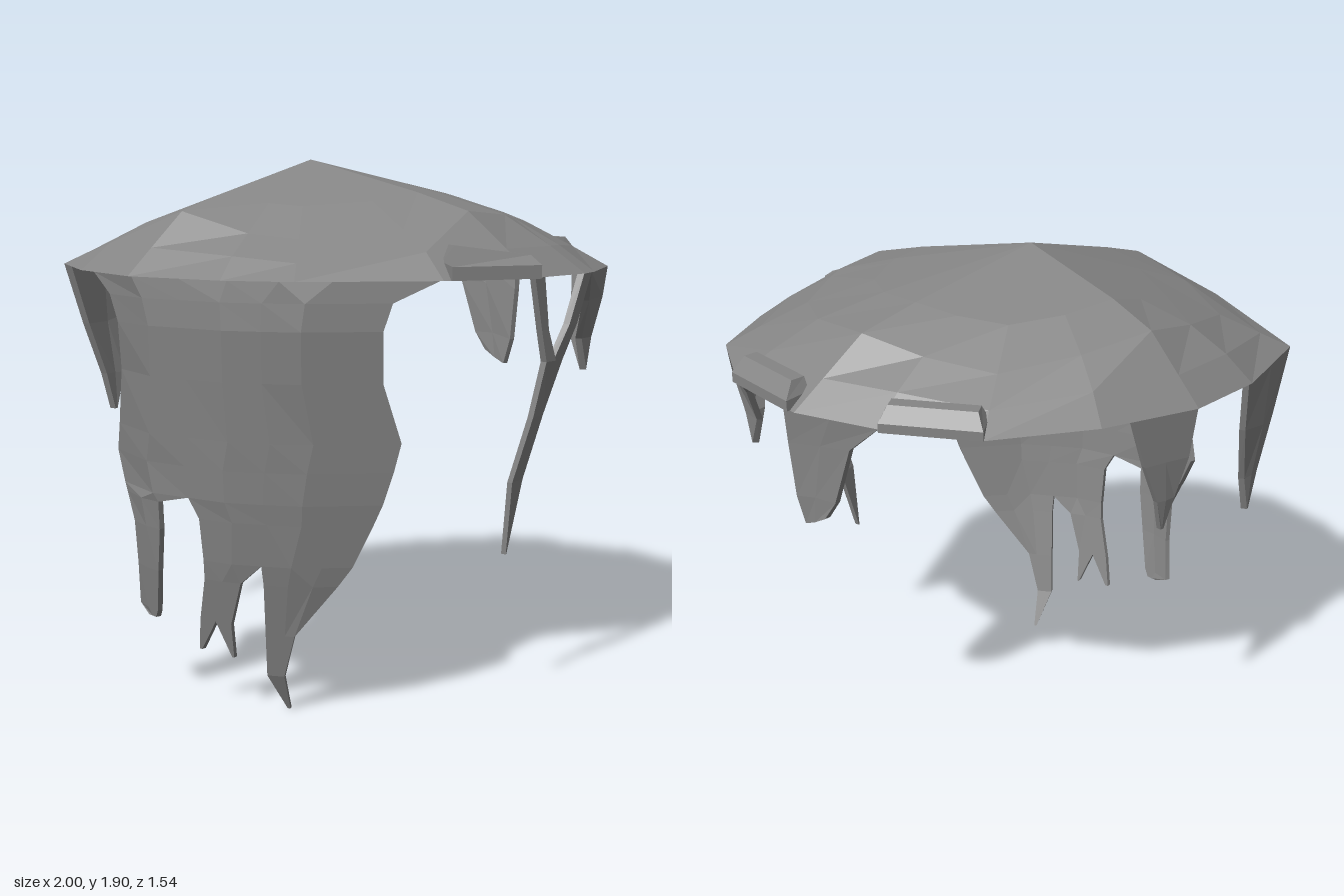
import * as THREE from 'three';

const material = new THREE.MeshStandardMaterial({ color: 0x858585, flatShading: true, side: THREE.DoubleSide });
const RIM_Y = 1.53;

// Rim of the canopy as [x, z], from the right tip over the front and round the back
const rim = [
  [-1, 0], [-0.86, 0.32], [-0.64, 0.58], [-0.31, 0.74], [-0.07, 0.78], [0.4, 0.71], [0.7, 0.56], [0.88, 0.36], [0.92, 0.28],
  [1, 0], [0.91, -0.3], [0.68, -0.56], [0.4, -0.68], [0.07, -0.76], [-0.3, -0.67], [-0.62, -0.52], [-0.82, -0.32],
];

// Piecewise linear lookup in a list of ascending [key, value] pairs
function lookup(table, k) {
  for (let i = 1; i < table.length; i++) {
    const [k0, v0] = table[i - 1], [k1, v1] = table[i];
    if (k <= k1) return v0 + (v1 - v0) * Math.max(0, (k - k0) / (k1 - k0));
  }
  return table[table.length - 1][1];
}

function makeMesh(name, positions, index) {
  const geometry = new THREE.BufferGeometry();
  geometry.setAttribute('position', new THREE.Float32BufferAttribute(positions, 3));
  geometry.setIndex(index);
  geometry.computeVertexNormals();
  const mesh = new THREE.Mesh(geometry, material);
  mesh.name = name;
  return mesh;
}

// Thin sheet through rows of [x, y, z] points, thickened towards the middle axis; its top edge joins the part above
function sheet(name, rows) {
  const n = rows[0].length, m = rows.length, half = n * m;
  const outer = rows.flat();
  const positions = [...outer, ...outer.map(([x, y, z]) => [x * 0.975, y, z * 0.975])].flat();
  const index = [];
  const quad = (a, b, c, d) => index.push(a, b, c, a, c, d);
  for (let r = 0; r < m - 1; r++) {
    for (let c = 0; c < n - 1; c++) {
      const a = r * n + c;
      quad(a, a + n, a + n + 1, a + 1);
      quad(a + half, a + half + 1, a + half + n + 1, a + half + n);
    }
    const l = r * n, e = l + n - 1;
    quad(l, l + half, l + half + n, l + n);
    quad(e, e + n, e + half + n, e + half);
  }
  for (let c = 0; c < n - 1; c++) {
    const b = (m - 1) * n + c;
    quad(b, b + half, b + half + 1, b + 1);
  }
  return makeMesh(name, positions, index);
}

// Canopy: rings shrinking to an off-centre peak, as high as the lengthwise and crosswise roof profiles both allow
const roofAlongX = [[-1, 1.53], [-0.7, 1.67], [-0.08, 1.91], [0.48, 1.77], [0.73, 1.68], [1, 1.53]];
const roofAlongZ = [[0, 1.91], [0.38, 1.76], [0.6, 1.63], [0.78, 1.53]];
function canopy() {
  const rings = [1, 0.88, 0.72, 0.5, 0.27];
  const n = rim.length, peakX = -0.08, positions = [], index = [];
  for (const t of rings) {
    for (const [rx, rz] of rim) {
      const x = peakX + (rx - peakX) * t, z = rz * t;
      positions.push(x, Math.min(lookup(roofAlongX, x), lookup(roofAlongZ, Math.abs(z)), RIM_Y + 0.75 * (1 - t)), z);
    }
  }
  positions.push(peakX, 1.91, 0);
  rings.forEach((_, r) => {
    for (let i = 0; i < n; i++) {
      const a = r * n + i, b = r * n + (i + 1) % n;
      if (r === rings.length - 1) index.push(a, b, n * rings.length);
      else index.push(a, b, b + n, a, b + n, a + n);
    }
  });
  return makeMesh('canopy', positions, index);
}

// Curtain sheet from [y, xRight, xLeft] rows: follows the front rim, drifts inward lower down, wraps round at the right
const frontRim = rim.slice(0, 10);
const drift = [[0, 0.27], [0.15, 0.2], [0.55, 0.1], [0.8, 0.06], [1.4, 0], [1.53, 0.01]];
function curtain(name, columns, rows) {
  return sheet(name, rows.map(([y, x0, x1]) => Array.from({ length: columns + 1 }, (_, i) => {
    const x = x0 + (x1 - x0) * i / columns;
    const wrap = 0.45 * Math.max(0, -0.58 - x) * Math.min(1, (RIM_Y - y) / 0.3);
    return [x, y, lookup(frontRim, x) - lookup(drift, y) - wrap];
  })));
}

// Bevelled block lying on the rim between two [x, z] ends, its top leaning inward with the roof slope
function rimBlock(name, [x0, z0], [x1, z1], height, endDrop = 0) {
  const length = Math.hypot(x1 - x0, z1 - z0), depth = 0.09;
  const inward = z0 > 0 ? -1 : 1;
  const geometry = new THREE.BoxGeometry(length, height, depth, 1, 2, 1);
  const p = geometry.attributes.position;
  for (let i = 0; i < p.count; i++) {
    const x = p.getX(i), y = p.getY(i), z = p.getZ(i);
    if (y > 0.001) p.setXYZ(i, x * 0.86, y - (x > 0 ? endDrop : 0), z * 0.55 + inward * 0.02);
    else if (y > -0.001) p.setY(i, z * inward > 0 ? 0 : -height * 0.1);
  }
  const mesh = new THREE.Mesh(geometry, material);
  mesh.name = name;
  mesh.position.set((x0 + x1) / 2, RIM_Y + height / 2, (z0 + z1) / 2);
  mesh.rotation.y = -Math.atan2(z1 - z0, x1 - x0);
  return mesh;
}

export function createModel() {
  const model = new THREE.Group();
  model.name = 'hangingCanopy';
  model.add(canopy());

  // Broad front curtain, split into ragged strands below
  const front = new THREE.Group();
  front.name = 'frontCurtain';
  front.add(
    curtain('curtainBody', 7, [
      [1.53, -0.8, 0.39], [1.46, -0.73, 0.24], [1.37, -0.7, 0.21], [1.2, -0.7, 0.21],
      [1.0, -0.725, 0.27], [0.9, -0.74, 0.245], [0.79, -0.71, 0.21],
    ]),
    curtain('curtainLowerBody', 5, [[0.79, -0.447, 0.21], [0.72, -0.41, 0.18], [0.57, -0.4, 0.11]]),
    curtain('rightStrand', 2, [
      [0.79, -0.71, -0.447], [0.76, -0.7, -0.56], [0.66, -0.67, -0.56], [0.5, -0.665, -0.575], [0.34, -0.67, -0.59], [0.31, -0.63, -0.6],
    ]),
    curtain('longStrand', 3, [
      [0.57, -0.196, 0.11], [0.5, -0.19, 0.06], [0.31, -0.19, -0.09], [0.15, -0.19, -0.13], [0.01, -0.125, -0.115],
    ]),
    curtain('middleStrand', 2, [[0.57, -0.4, -0.196], [0.5, -0.4, -0.27], [0.34, -0.425, -0.31]]),
    curtain('middleTipRight', 1, [[0.34, -0.425, -0.3675], [0.22, -0.435, -0.425]]),
    curtain('middleTipLeft', 1, [[0.34, -0.3675, -0.31], [0.21, -0.312, -0.305]]),
  );
  model.add(front);

  // Pointed side and back hangers
  model.add(
    sheet('rightHanger', [
      [[-1, 1.53, 0], [-0.91, 1.53, -0.16], [-0.81, 1.53, -0.32]],
      [[-0.95, 1.3, -0.06], [-0.9, 1.3, -0.16], [-0.82, 1.33, -0.27]],
      [[-0.9, 1.1, -0.12], [-0.875, 1.1, -0.16], [-0.845, 1.1, -0.19]],
      [[-0.875, 0.96, -0.15], [-0.873, 0.96, -0.155], [-0.87, 0.96, -0.16]],
    ]),
    sheet('leftHanger', [
      [[0.91, 1.53, 0.29], [1, 1.53, 0], [0.92, 1.53, -0.28]],
      [[0.92, 1.42, 0.16], [0.985, 1.42, 0], [0.91, 1.42, -0.16]],
      [[0.91, 1.27, 0.04], [0.95, 1.27, -0.01], [0.9, 1.27, -0.07]],
      [[0.935, 1.15, 0], [0.935, 1.15, -0.01], [0.935, 1.15, -0.015]],
    ]),
    sheet('backLeftHanger', [
      [[0.4, 1.53, -0.68], [0.56, 1.53, -0.61], [0.72, 1.53, -0.52]],
      [[0.5, 1.43, -0.63], [0.6, 1.42, -0.58], [0.715, 1.4, -0.51]],
      [[0.56, 1.22, -0.6], [0.63, 1.22, -0.56], [0.7, 1.2, -0.51]],
      [[0.6, 1.15, -0.58], [0.64, 1.12, -0.55], [0.675, 1.1, -0.52]],
    ]),
    sheet('backRightHanger', [
      [[-0.4, 1.53, -0.62], [-0.52, 1.53, -0.56], [-0.62, 1.53, -0.51]],
      [[-0.45, 1.35, -0.59], [-0.52, 1.35, -0.55], [-0.6, 1.35, -0.51]],
      [[-0.5, 1.2, -0.55], [-0.53, 1.2, -0.535], [-0.56, 1.2, -0.51]],
      [[-0.52, 1.08, -0.52], [-0.525, 1.08, -0.515], [-0.53, 1.08, -0.51]],
    ]),
  );

  // Forked hanger: two thin strands joining into one long tip
  const fork = new THREE.Group();
  fork.name = 'forkedHanger';
  fork.add(
    sheet('forkFrontStrand', [
      [[0.7, 1.53, 0.54], [0.735, 1.53, 0.5]],
      [[0.73, 1.35, 0.49], [0.755, 1.35, 0.46]],
      [[0.75, 1.24, 0.46], [0.785, 1.24, 0.42]],
    ]),
    sheet('forkBackStrand', [
      [[0.88, 1.53, 0.34], [0.91, 1.53, 0.29]],
      [[0.83, 1.36, 0.39], [0.86, 1.36, 0.345]],
      [[0.775, 1.24, 0.43], [0.81, 1.24, 0.385]],
    ]),
    sheet('forkTip', [
      [[0.75, 1.24, 0.46], [0.81, 1.24, 0.385]],
      [[0.71, 1.05, 0.46], [0.75, 1.05, 0.38]],
      [[0.645, 0.82, 0.45], [0.685, 0.82, 0.38]],
      [[0.63, 0.56, 0.425], [0.632, 0.56, 0.42]],
    ]),
  );
  model.add(fork);

  // Small bevelled blocks along the rim
  model.add(
    rimBlock('backBlock', [0.06, -0.72], [0.39, -0.66], 0.08),
    rimBlock('backLeftBlock', [0.67, -0.52], [0.885, -0.29], 0.09),
    rimBlock('frontLeftBlock', [0.41, 0.665], [0.7, 0.55], 0.11, 0.035),
  );
  return model;
}
